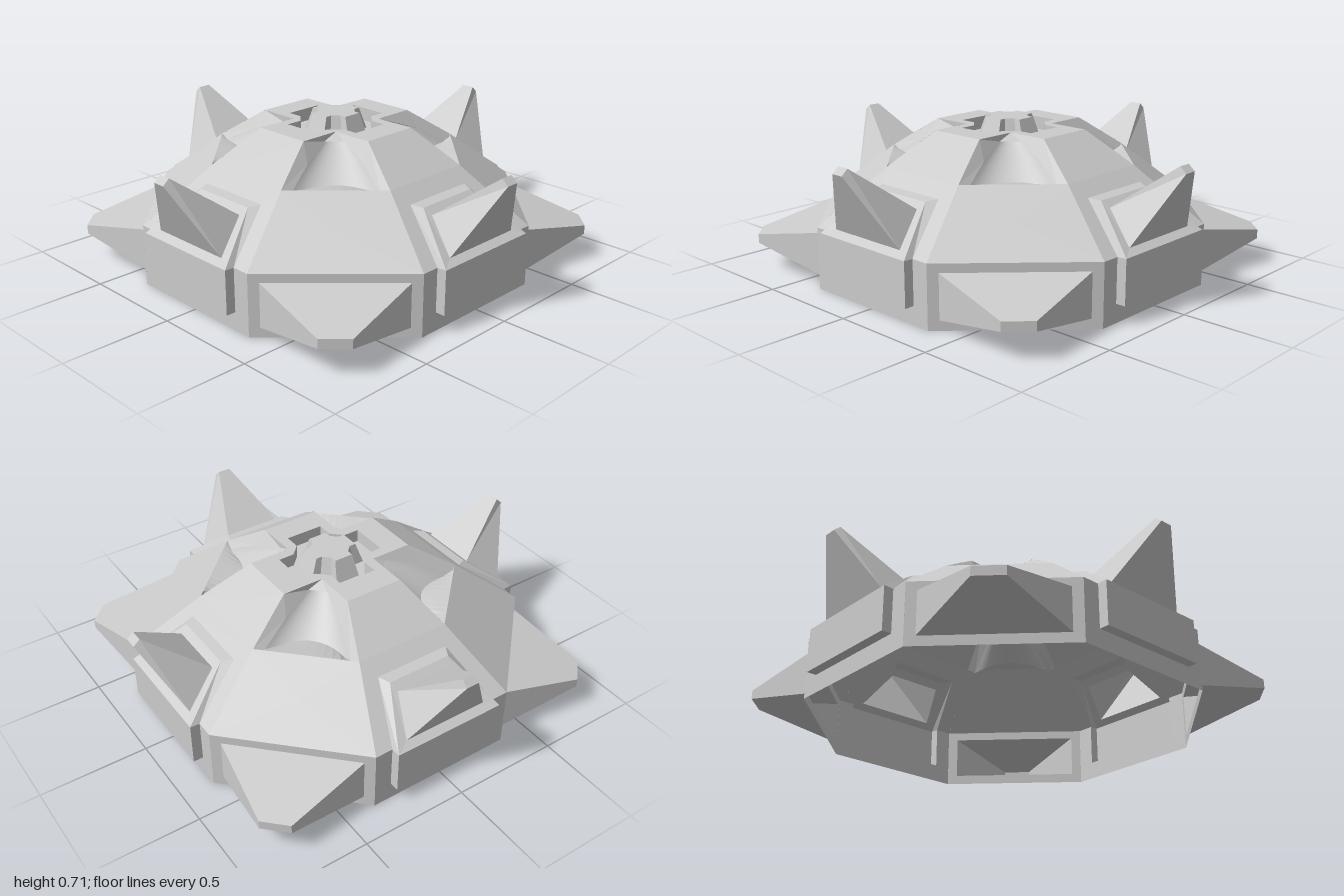
import * as THREE from 'three';

const material = new THREE.MeshStandardMaterial({ color: 0xcccccc, side: THREE.DoubleSide });

// Skins a list of equally long point rings; flat shaded unless smooth
function loft(name, rings, { closed = true, cap = false, smooth = false } = {}) {
  const n = rings[0].length, pos = [], idx = [];
  rings.forEach(r => r.forEach(p => pos.push(...p)));
  for (let j = 0; j < rings.length - 1; j++) {
    for (let i = 0; i < (closed ? n : n - 1); i++) {
      const a = j * n + i, b = j * n + (i + 1) % n;
      idx.push(a, b, b + n, a, b + n, a + n);
    }
  }
  if (cap) {
    const last = rings[rings.length - 1], base = (rings.length - 1) * n;
    pos.push(...[0, 1, 2].map(k => last.reduce((s, p) => s + p[k], 0) / n));
    for (let i = 0; i < n; i++) idx.push(base + i, base + (i + 1) % n, base + n);
  }
  let g = new THREE.BufferGeometry();
  g.setAttribute('position', new THREE.Float32BufferAttribute(pos, 3));
  g.setIndex(idx);
  if (!smooth) g = g.toNonIndexed();
  g.computeVertexNormals();
  const mesh = new THREE.Mesh(g, material);
  mesh.name = name;
  return mesh;
}

// Four corners facing +z: lower half width, y, z, then upper half width, y, z
const quad = (w0, y0, z0, w1, y1, z1) =>
  [[-w0, y0, z0], [w0, y0, z0], [w1, y1, z1], [-w1, y1, z1]];

// Wall and slope outline folded at the rim: bottom, fold and top rows
const folded = (w0, y0, z0, w1, y1, z1, w2, y2, z2) =>
  [[-w0, y0, z0], [w0, y0, z0], [w1, y1, z1], [w2, y2, z2], [-w2, y2, z2], [-w1, y1, z1]];

// Octagon levels of the dome: half side, height, distance from axis
const FOOT = [0.352, 0, 0.85], RIM = [0.352, 0.285, 0.85];
const SHOULDER = [0.228, 0.525, 0.55], CROWN = [0.139, 0.67, 0.335];

// Cardinal side: shell, raised folded panel and upward spike
function cardinalSide() {
  const g = new THREE.Group();
  g.name = 'cardinalSide';
  g.add(loft('shellAndPanelEdge', [
    folded(...FOOT, ...RIM, ...SHOULDER),
    folded(0.27, 0.085, 0.85, 0.27, 0.285, 0.85, 0.18, 0.469, 0.62),
    folded(0.27, 0.085, 0.895, 0.27, 0.287, 0.895, 0.155, 0.462, 0.67),
  ]));
  g.add(loft('panelFront', [quad(0.27, 0.085, 0.895, 0.27, 0.287, 0.895)], { cap: true }));
  g.add(loft('upperSpike', [
    quad(0.27, 0.287, 0.895, 0.155, 0.462, 0.67),
    quad(0.205, 0.31, 0.86, 0.14, 0.435, 0.705),
    quad(0.03, 0.61, 1.0, 0.03, 0.637, 0.97),
  ], { cap: true }));
  g.add(loft('upperShell', [quad(...SHOULDER, ...CROWN)], { cap: true }));
  return g;
}

// Scooped window in the upper shell: side bands around a smooth hollow
function scoop() {
  const g = new THREE.Group();
  g.name = 'scoopedWindow';
  // half width, height, distance at the centre, distance at the edges
  const rows = [
    [0.05, 0.64, 0.21, 0.245], [0.12, 0.585, 0.30, 0.39],
    [0.19, 0.50, 0.42, 0.54], [0.228, 0.525, 0.55, 0.55],
  ];
  const N = 12;
  const arcs = rows.map(([w, y, zc, ze]) => Array.from({ length: N + 1 }, (_, i) => {
    const s = i / N * 2 - 1;
    return [s * w, y, zc + (ze - zc) * s * s];
  }));
  g.add(loft('hollow', arcs.slice(0, 3).reverse(), { closed: false, smooth: true }));
  g.add(loft('sill', [arcs[3], arcs[2]], { closed: false }));
  for (const s of [-1, 1]) {
    const outer = [[0, 0.67, 0.197], [s * CROWN[0], CROWN[1], CROWN[2]],
      [s * SHOULDER[0], SHOULDER[1], SHOULDER[2]]];
    const inner = rows.slice(0, 3).map(([w, y, , ze]) => [s * w, y, ze]);
    g.add(loft('windowBand', s < 0 ? [inner, outer] : [outer, inner], { closed: false }));
  }
  g.add(loft('windowHead', [[arcs[0][0], arcs[0][N]], [[0, 0.67, 0.197], [0, 0.67, 0.197]]],
    { closed: false }));
  return g;
}

// Diagonal side: framed wall with a wide wedge spike, slope and window
function diagonalSide() {
  const g = new THREE.Group();
  g.name = 'diagonalSide';
  g.add(loft('wallSpike', [
    quad(...FOOT, ...RIM),
    quad(0.305, 0.045, 0.85, 0.305, 0.245, 0.85),
    quad(0.067, 0.125, 1.168, 0.067, 0.167, 1.168),
  ], { cap: true }));
  g.add(loft('lowerShell', [quad(...RIM, ...SHOULDER)], { cap: true }));
  g.add(scoop());
  return g;
}

// Horizontal cross outline from one quadrant of points
function cross(y, points) {
  const ring = [];
  for (let q = 0; q < 4; q++) {
    for (let [a, b] of points) {
      for (let k = 0; k < q; k++) [a, b] = [-b, a];
      ring.push([a, y, -b]);
    }
  }
  return ring;
}

// Quadrant of a cross with chamfered inner corners
const arm = (len, neck, half) => [[len, half], [neck, half], [half, neck], [half, len]];

export function createModel() {
  const model = new THREE.Group();
  model.name = 'spikedDome';
  for (let i = 0; i < 4; i++) {
    const front = cardinalSide(), corner = diagonalSide();
    front.rotation.y = i * Math.PI / 2;
    corner.rotation.y = (i + 0.5) * Math.PI / 2;
    model.add(front, corner);
  }
  // Flat crown with a sunken cross and a raised boss in it
  const rim = cross(0.67, arm(0.215, 0.14, 0.09));
  const floor = cross(0.61, arm(0.215, 0.14, 0.09));
  model.add(loft('crown', [cross(0.67, arm(0.335, 0.139, 0.139)), rim]));
  model.add(loft('crownRecess', [rim, floor, cross(0.61, arm(0.14, 0.095, 0.06))]));
  model.add(loft('crownBoss', [
    cross(0.61, arm(0.14, 0.095, 0.06)),
    cross(0.71, arm(0.105, 0.075, 0.045)),
  ], { cap: true }));
  return model;
}
